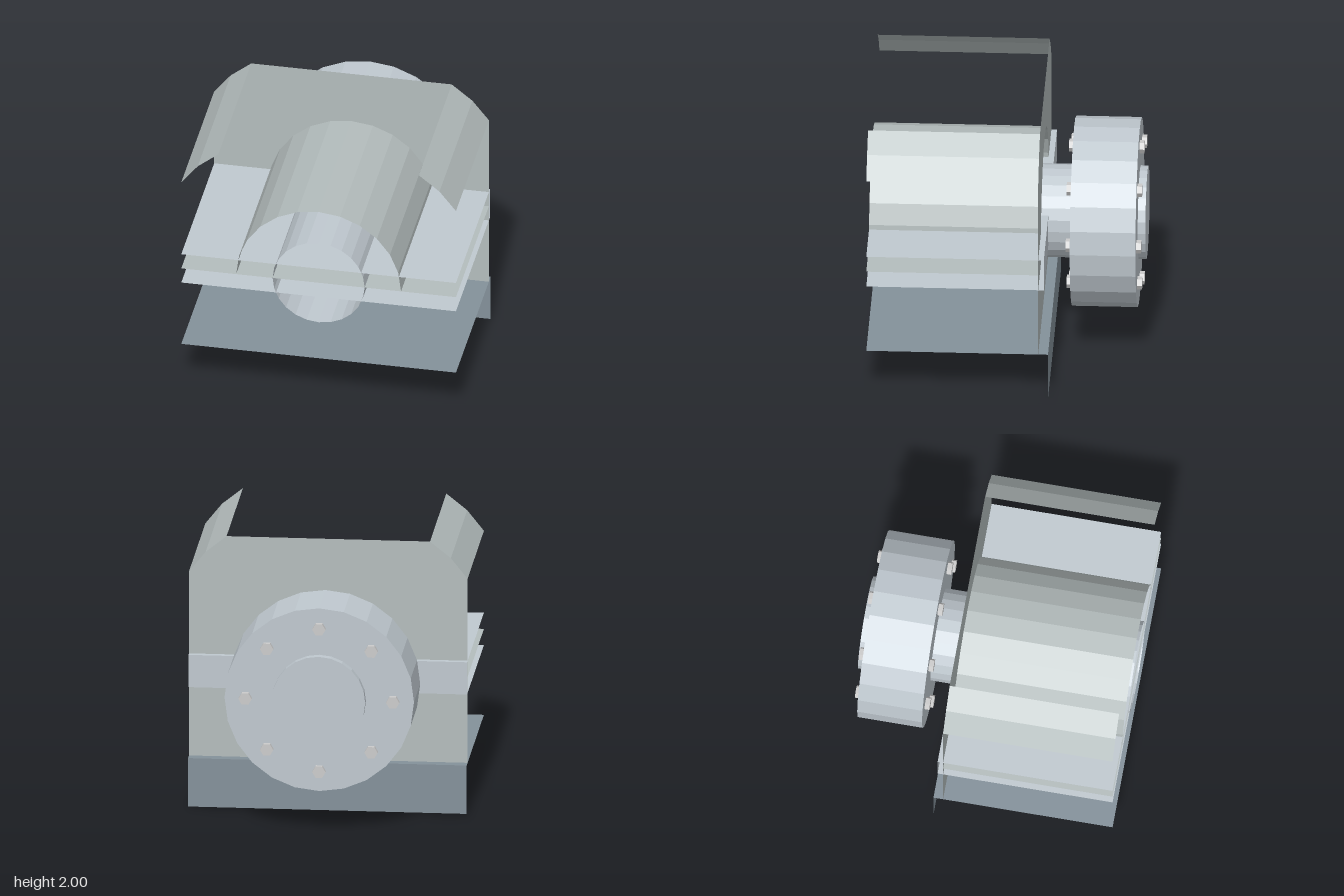
import * as THREE from 'three';

const FRONT = 0.98, WALL = -0.25, AXIS = 1.0;

const material = (color) =>
  new THREE.MeshStandardMaterial({ color, flatShading: true, side: THREE.DoubleSide });

// Sheet made by sweeping an (x, y) line along z
function sweptSheet(points, z0, z1) {
  const pos = [], index = [];
  points.forEach(([x, y], i) => {
    pos.push(x, y, z0, x, y, z1);
    if (i) {
      const a = 2 * (i - 1);
      index.push(a, a + 1, a + 2, a + 1, a + 3, a + 2);
    }
  });
  const g = new THREE.BufferGeometry();
  g.setAttribute('position', new THREE.Float32BufferAttribute(pos, 3));
  g.setIndex(index);
  g.computeVertexNormals();
  return g;
}

export function createModel() {
  const model = new THREE.Group();
  const housing = material(0xb4bdbd);
  const steel = material(0xc0c9d0);
  const base = material(0x84919a);
  const boltMat = material(0xcccccc);

  const add = (name, geometry, mat, x = 0, y = 0, z = 0) => {
    const mesh = new THREE.Mesh(geometry, mat);
    mesh.name = name;
    mesh.position.set(x, y, z);
    model.add(mesh);
    return mesh;
  };
  const level = (name, y, back, mat) =>
    add(name, sweptSheet([[1, y], [-1, y]], FRONT, back), mat);
  const upright = (name, y0, y1, z, mat) =>
    add(name, new THREE.PlaneGeometry(2, y1 - y0), mat, 0, (y0 + y1) / 2, z);
  const disc = (name, r, z0, z1, mat, open = false) =>
    add(name, new THREE.CylinderGeometry(r, r, z1 - z0, 24, 1, open).rotateX(Math.PI / 2),
      mat, 0, AXIS, (z0 + z1) / 2);

  // Arch line over the shaft, from +x to -x
  const arch = [];
  for (let i = 0; i <= 12; i++) {
    const a = (i / 12) * Math.PI;
    arch.push([0.6 * Math.cos(a), AXIS + 0.6 * Math.sin(a)]);
  }

  // Rear wall with clipped top corners and arched opening
  const corner = [[1, 1.73], [0.88, 1.88], [0.73, 2]];
  const mirrored = corner.map(([x, y]) => [-x, y]).reverse();
  const outline = [[-1, 0.36], [1, 0.36], ...corner, ...mirrored];
  const wall = new THREE.Shape(outline.map(p => new THREE.Vector2(...p)));
  wall.holes.push(new THREE.Path(arch.map(p => new THREE.Vector2(...p))));
  add('rearWall', new THREE.ShapeGeometry(wall), housing, 0, 0, WALL);

  // Corner covers, arched shaft cover and split plane
  add('leftCornerCover', sweptSheet(corner, FRONT, WALL), housing);
  add('rightCornerCover', sweptSheet(mirrored, FRONT, WALL), housing);
  add('shaftCover', sweptSheet(arch, FRONT, WALL), housing);
  level('splitPlate', AXIS, WALL, housing);

  // Joint flange: two plates closed by a rear strip
  level('upperFlangePlate', 1.12, -0.29, steel);
  level('lowerFlangePlate', 0.88, -0.29, steel);
  upright('flangeStrip', 0.88, 1.12, -0.29, steel);

  // Base floor with a downturned rear edge
  level('baseFloor', 0.36, -0.32, base);
  upright('baseApron', 0, 0.36, -0.32, base);

  // Shaft, open at the front, and coupling disc
  disc('shaft', 0.335, -0.985, FRONT, steel, true);
  add('shaftEnd', new THREE.CircleGeometry(0.335, 24).rotateY(Math.PI).rotateZ(Math.PI / 2),
    steel, 0, AXIS, -0.985);
  disc('coupling', 0.68, -0.93, -0.46, steel);

  // Hexagonal bolt heads on both faces of the coupling
  const hex = new THREE.CylinderGeometry(0.048, 0.048, 0.04, 6)
    .rotateX(Math.PI / 2).rotateZ(Math.PI / 2);
  for (let i = 0; i < 8; i++) {
    const a = (i / 8) * Math.PI * 2;
    for (const z of [-0.445, -0.945]) {
      add('bolt', hex, boltMat, 0.53 * Math.cos(a), AXIS + 0.53 * Math.sin(a), z);
    }
  }
  return model;
}
